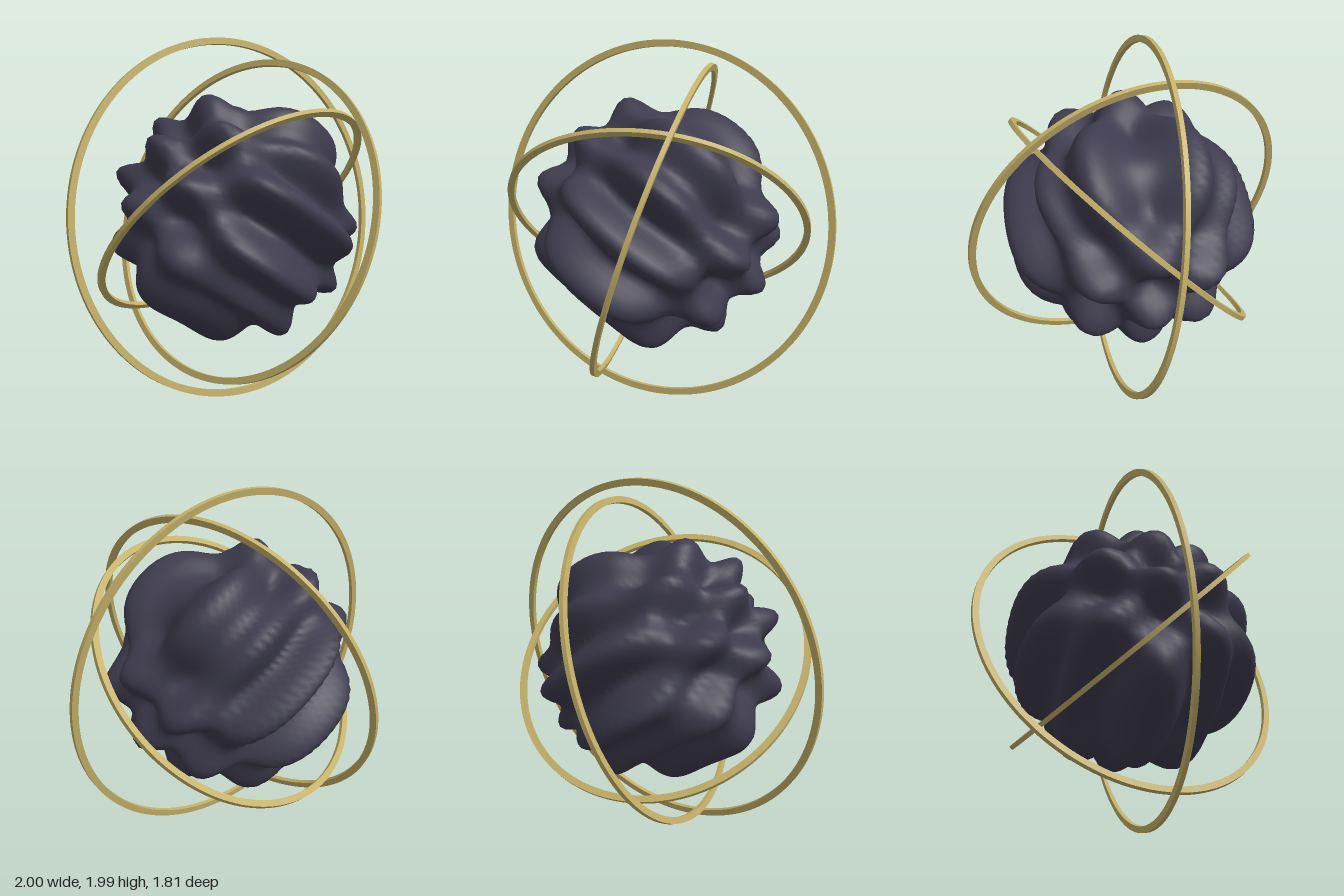
import * as THREE from 'three';
import { mergeVertices } from 'three/addons/utils/BufferGeometryUtils.js';

const stone = new THREE.MeshStandardMaterial({ color: 0x3d3b4d });
stone.name = 'dark stone';
const gold = new THREE.MeshStandardMaterial({ color: 0xc4b068 });
gold.name = 'pale gold';

// Sphere whose surface swells and sinks in a tilted wave lattice, mirrored in z
function createCore() {
  let geometry = new THREE.SphereGeometry(1, 88, 66);
  geometry.deleteAttribute('uv');
  geometry.deleteAttribute('normal');
  geometry = mergeVertices(geometry, 1e-4);
  const tilt = THREE.MathUtils.degToRad(56.5);
  const pos = geometry.attributes.position;
  const v = new THREE.Vector3();
  for (let i = 0; i < pos.count; i++) {
    v.fromBufferAttribute(pos, i).normalize();
    const across = v.x * Math.cos(tilt) + v.y * Math.sin(tilt);
    const wave = Math.sin(12 * across) * Math.cos(6.8 * v.z);
    v.multiplyScalar(0.613 + 0.095 * wave);
    pos.setXYZ(i, v.x, v.y, v.z);
  }
  geometry.computeVertexNormals();
  const core = new THREE.Mesh(geometry, stone);
  core.name = 'core';
  return core;
}

// Flat band with a rectangular section, turned so its axis follows the normal
function createRing(name, radius, normal) {
  const width = 0.036, depth = 0.024;
  const shape = new THREE.Shape().absarc(0, 0, radius, 0, Math.PI * 2);
  shape.holes.push(new THREE.Path().absarc(0, 0, radius - width, 0, Math.PI * 2, true));
  const geometry = new THREE.ExtrudeGeometry(shape, { depth, bevelEnabled: false, curveSegments: 120 });
  geometry.translate(0, 0, -depth / 2);
  const ring = new THREE.Mesh(geometry, gold);
  ring.name = name;
  ring.quaternion.setFromUnitVectors(new THREE.Vector3(0, 0, 1), new THREE.Vector3(...normal).normalize());
  return ring;
}

export function createModel() {
  const model = new THREE.Group();
  model.name = 'ringedCore';
  model.add(
    createCore(),
    createRing('outerRing', 1, [0, 0.131, 0.991]),
    createRing('middleRing', 0.922, [0.925, -0.315, -0.212]),
    createRing('innerRing', 0.85, [-0.15, 0.7, -0.698]),
  );
  model.children.forEach((part) => { part.position.y = 0.995; });
  return model;
}
